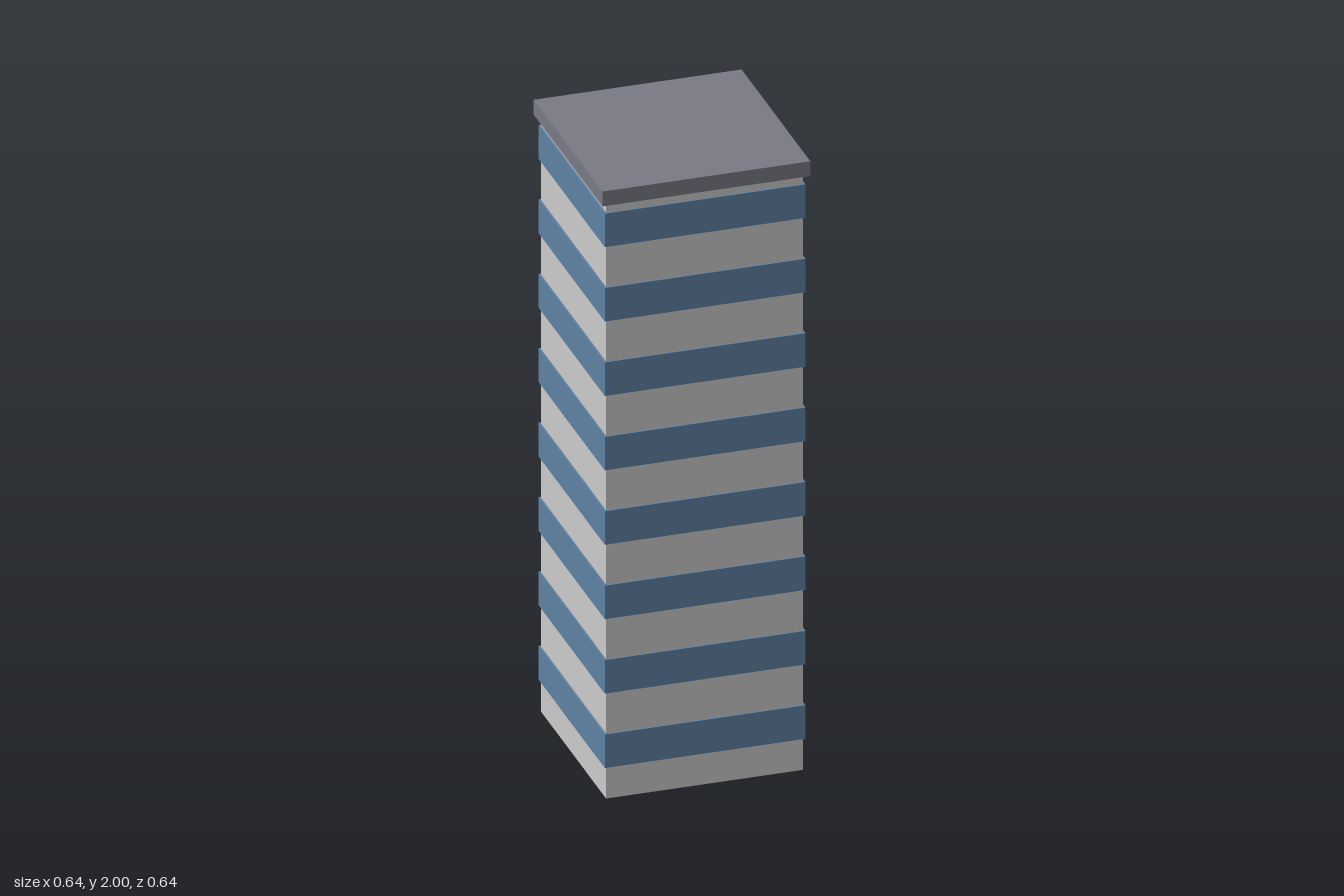
import * as THREE from 'three';

const FLOORS = 8;
const FLOOR_H = 2 / 8.2; // eight storeys plus a thin roof slab

export function createModel() {
  const tower = new THREE.Group();
  tower.name = 'tower';

  const wall = new THREE.MeshStandardMaterial({ color: 0xcccccc });
  const glass = new THREE.MeshStandardMaterial({ color: 0x5f81a3 });
  const slab = new THREE.MeshStandardMaterial({ color: 0x7a7a86 });

  // Square block standing on height y
  const block = (name, width, height, y, material) => {
    const mesh = new THREE.Mesh(new THREE.BoxGeometry(width, height, width), material);
    mesh.name = name;
    mesh.position.y = y + height / 2;
    tower.add(mesh);
  };

  // Main shaft
  const bodyH = FLOORS * FLOOR_H;
  block('body', 0.61, bodyH, 0, wall);

  // One window band around each storey
  const bandH = 0.45 * FLOOR_H;
  for (let i = 0; i < FLOORS; i++) {
    block(`windowBand${i + 1}`, 0.622, bandH, (i + 0.65) * FLOOR_H - bandH / 2, glass);
  }

  // Overhanging roof slab
  block('roof', 0.644, 2 - bodyH, bodyH, slab);

  return tower;
}
